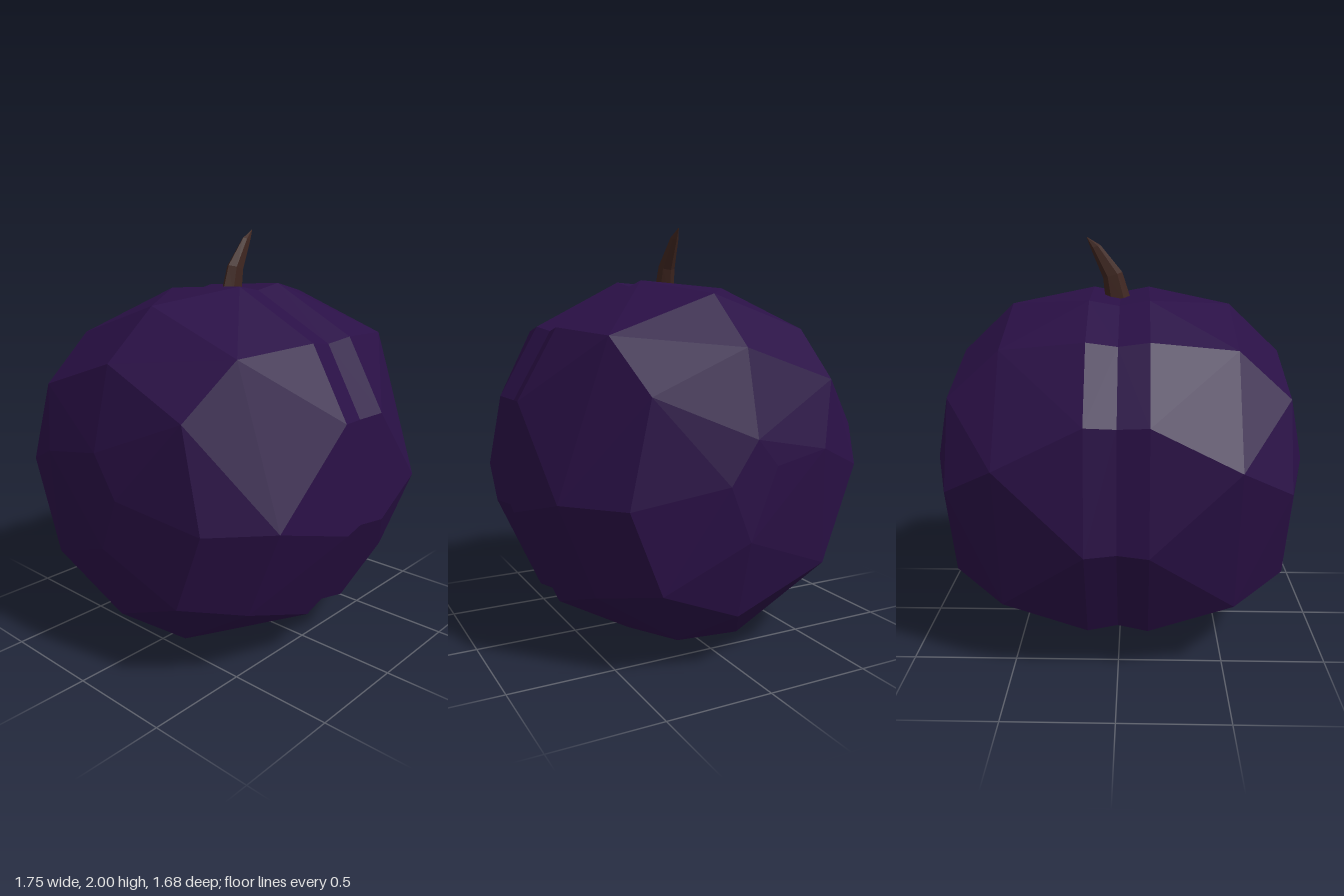
import * as THREE from 'three';
import { ConvexGeometry } from 'three/addons/geometries/ConvexGeometry.js';

const CENTRE_Y = 0.88;

// Side-on rings of each lobe, [z, y] pairs, from the groove outwards
const seamRing = [
  [0.81, 1.2], [0.62, 1.53], [0.19, 1.75], [-0.26, 1.72], [-0.56, 1.57], [-0.79, 1.25],
  [-0.84, 0.69], [-0.62, 0.23], [-0.18, 0.005], [0.27, 0.03], [0.63, 0.23], [0.84, 0.69],
];
const shoulderRing = [
  [0.77, 0.8], [0.53, 1.5], [0.02, 1.68], [-0.46, 1.52], [-0.77, 1.05],
  [-0.62, 0.36], [-0.12, 0.08], [0.2, 0.1], [0.6, 0.37],
];
const sideRing = [
  [0.55, 0.8], [0.45, 1.26], [0, 1.45], [-0.45, 1.3], [-0.6, 0.9], [-0.43, 0.45], [0.03, 0.27], [0.4, 0.42],
];
const endRing = [[0.13, 0.88], [0, 1.07], [-0.1, 0.95], [0.03, 0.63]];

function makeLobe(side) {
  const points = [];
  const addRing = (x, ring, scale = 1) => {
    for (const [z, y] of ring) {
      points.push(new THREE.Vector3(side * x, CENTRE_Y + (y - CENTRE_Y) * scale, z * scale));
    }
  };
  addRing(0, seamRing, 0.97);
  addRing(0.14, seamRing);
  addRing(0.535, shoulderRing);
  addRing(0.78, sideRing);
  addRing(0.85, [[-0.37, 1.0]]);
  addRing(0.875, endRing);
  return new ConvexGeometry(points);
}

// Six-sided curved stem tapering to a point
function makeStem() {
  const rings = [ // centre x, y, half-width in x, half-width in z
    [0.012, 1.69, 0.06, 0.045],
    [0.04, 1.82, 0.047, 0.037],
    [0.123, 1.955, 0.024, 0.018],
    [0.165, 2.0, 0.001, 0.001],
  ];
  const sides = 6;
  const positions = [];
  const corner = ([x, y, rx, rz], j) => {
    const a = (j / sides) * Math.PI * 2;
    return [x + Math.cos(a) * rx, y - Math.cos(a) * rx * 0.3, Math.sin(a) * rz];
  };
  for (let i = 0; i < rings.length - 1; i++) {
    for (let j = 0; j < sides; j++) {
      const a = corner(rings[i], j), b = corner(rings[i], j + 1);
      const c = corner(rings[i + 1], j + 1), d = corner(rings[i + 1], j);
      positions.push(...a, ...c, ...b, ...a, ...d, ...c);
    }
  }
  const geometry = new THREE.BufferGeometry();
  geometry.setAttribute('position', new THREE.Float32BufferAttribute(positions, 3));
  geometry.computeVertexNormals();
  return geometry;
}

export function createModel() {
  const skin = new THREE.MeshStandardMaterial({ color: 0x2a1046 });
  skin.name = 'dark purple skin';
  const wood = new THREE.MeshStandardMaterial({ color: 0x3d241e });
  wood.name = 'brown stem';

  const group = new THREE.Group();
  group.name = 'plum';
  const add = (name, geometry, material) => {
    const mesh = new THREE.Mesh(geometry, material);
    mesh.name = name;
    group.add(mesh);
  };

  // Two lobes meeting in a shallow groove
  add('leftLobe', makeLobe(1), skin);
  add('rightLobe', makeLobe(-1), skin);
  add('stem', makeStem(), wood);
  return group;
}
